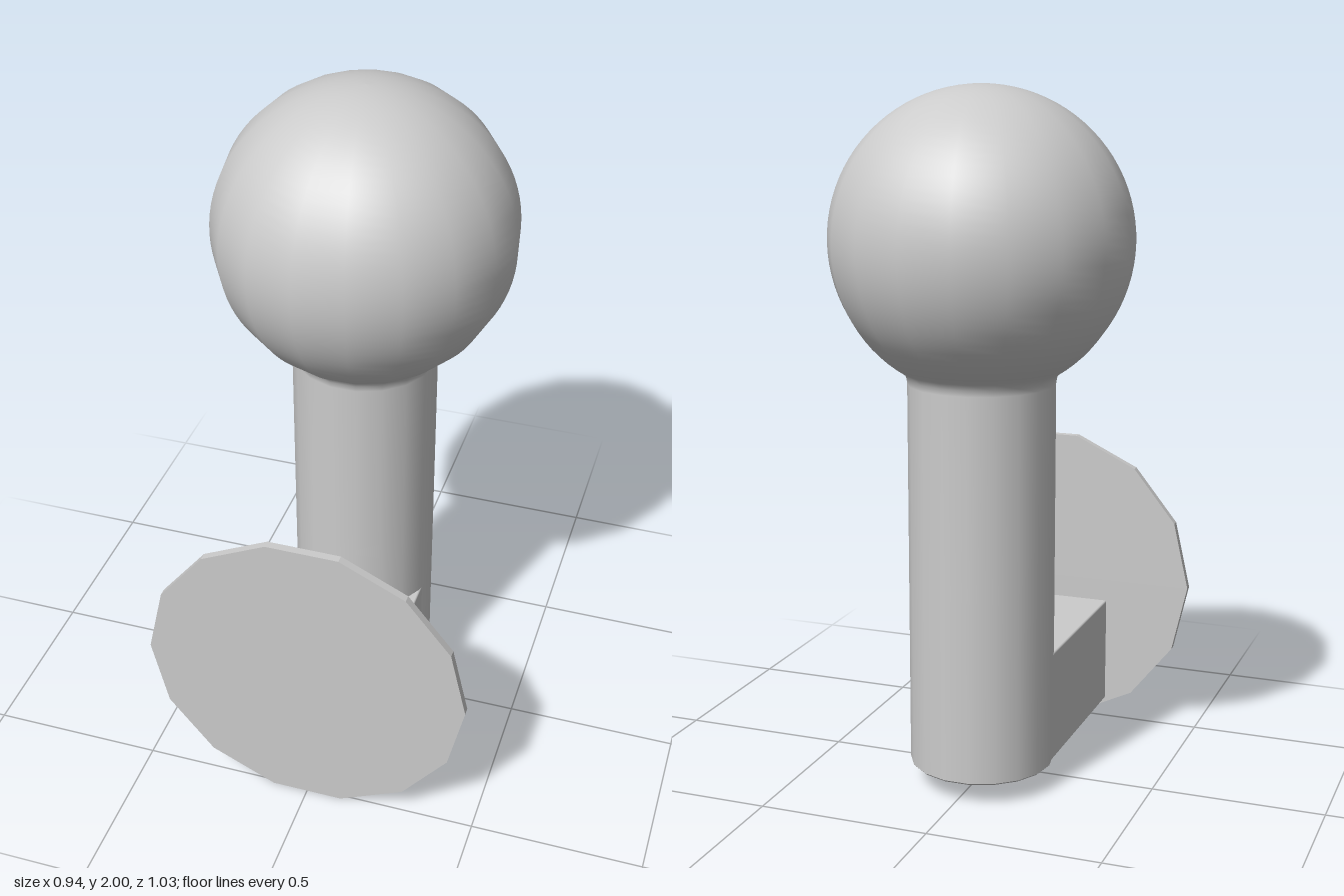
import * as THREE from 'three';
import { RoundedBoxGeometry } from 'three/addons/geometries/RoundedBoxGeometry.js';

export function createModel() {
  const model = new THREE.Group();
  const material = new THREE.MeshStandardMaterial({ color: 0xcccccc });

  const add = (name, geometry, x, y, z) => {
    const mesh = new THREE.Mesh(geometry, material);
    mesh.name = name;
    mesh.position.set(x, y, z);
    model.add(mesh);
    return mesh;
  };

  const axisX = -0.01, axisZ = -0.095;
  const bottom = 0.065;
  const postRadius = 0.208, ballRadius = 0.424, ballY = 1.576;

  // Round post flowing into the ball, turned as one 18-sided profile
  const profile = [
    [0, bottom], [postRadius - 0.005, bottom], [postRadius - 0.005, bottom], // repeated point keeps the rim sharp
    [postRadius, bottom + 0.005], [postRadius, bottom + 0.005],
    [postRadius, 0.6], [postRadius, 1.18], [0.211, 1.198],
  ].map(([r, y]) => new THREE.Vector2(r, y));
  const start = -Math.PI / 2 + Math.asin(0.222 / ballRadius);
  const steps = 36;
  for (let i = 0; i <= steps; i++) {
    const a = THREE.MathUtils.lerp(start, Math.PI / 2, i / steps);
    const r = i === steps ? 0 : ballRadius * Math.cos(a);
    profile.push(new THREE.Vector2(r, ballY + ballRadius * Math.sin(a)));
  }
  add('postWithBall', new THREE.LatheGeometry(profile, 18, Math.PI / 2), axisX, 0, axisZ);

  // Foot block reaching forward from the post
  const front = 0.49, height = 0.325;
  const depth = front - axisZ;
  add('footBlock', new RoundedBoxGeometry(0.398, height, depth, 1, 0.005),
    axisX, bottom + height / 2, axisZ + depth / 2);

  // Thin 14-sided disc on the front of the block
  const disc = new THREE.CylinderGeometry(0.468, 0.468, 0.023, 14).toNonIndexed();
  disc.rotateY(Math.PI / 2); // puts a corner on each side
  disc.rotateX(Math.PI / 2);
  disc.computeVertexNormals();
  add('frontDisc', disc, 0, 0.457, 0.5015);

  return model;
}
